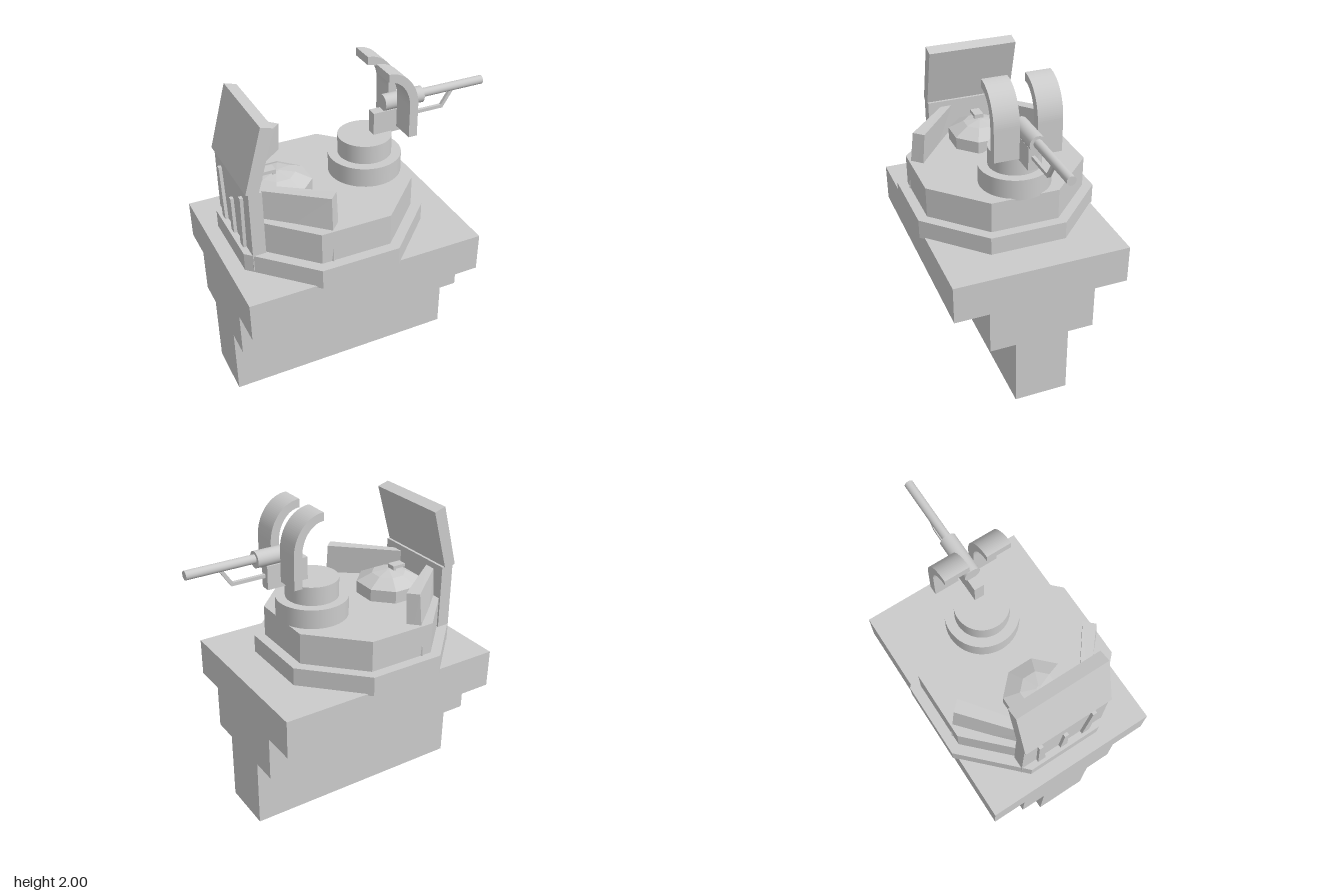
import * as THREE from 'three';

const flat = new THREE.MeshStandardMaterial({ color: 0xcccccc, flatShading: true });
const smooth = new THREE.MeshStandardMaterial({ color: 0xcccccc });

export function createModel() {
  const model = new THREE.Group();

  const add = (name, geometry, material = flat) => {
    const mesh = new THREE.Mesh(geometry, material);
    mesh.name = name;
    model.add(mesh);
    return mesh;
  };

  // Box given by its limits on each axis
  const box = (name, x0, x1, y0, y1, z0, z1) =>
    add(name, new THREE.BoxGeometry(x1 - x0, y1 - y0, z1 - z0)
      .translate((x0 + x1) / 2, (y0 + y1) / 2, (z0 + z1) / 2));

  // Upright regular octagon with flats facing the axes
  const octagon = (name, x, y0, y1, bottom, top = bottom) => {
    const k = 1 / Math.cos(Math.PI / 8);
    return add(name, new THREE.CylinderGeometry(top * k, bottom * k, y1 - y0, 8)
      .rotateY(Math.PI / 8).translate(x, (y0 + y1) / 2, 0));
  };

  // Side profile in x-y, extruded from z0 to z1
  const profile = (name, shape, z0, z1, material = flat) =>
    add(name, new THREE.ExtrudeGeometry(shape, { depth: z1 - z0, bevelEnabled: false, curveSegments: 16 })
      .translate(0, 0, z0), material);
  const polygon = (points) => new THREE.Shape(points.map(([x, y]) => new THREE.Vector2(x, y)));

  // Stepped pedestal
  box('pedestalFoot', -0.89, 0.59, 0, 0.455, -0.172, 0.172);
  box('pedestalMiddle', -0.89, 0.59, 0.455, 0.74, -0.338, 0.338);
  box('pedestalDeck', -0.89, 0.59, 0.74, 0.985, -0.555, 0.555);

  // Octagonal platform
  octagon('platformBase', -0.22, 0.975, 1.1, 0.58);
  octagon('platformBody', -0.22, 1.1, 1.297, 0.518);

  // Hatch: drum, two-stage faceted lid and handle
  octagon('hatchDrum', -0.485, 1.29, 1.375, 0.19);
  octagon('hatchLid', -0.485, 1.375, 1.425, 0.19, 0.1);
  octagon('hatchCrown', -0.485, 1.425, 1.44, 0.1, 0.012);
  box('hatchHandle', -0.59, -0.5, 1.445, 1.465, -0.03, 0.03);
  box('hatchHandlePost', -0.52, -0.5, 1.42, 1.455, -0.03, 0.03);

  // Rear plate with its leaning upper shield
  box('rearPlate', -0.76, -0.68, 0.985, 1.51, -0.285, 0.285);
  profile('rearShield', polygon([[-0.775, 1.515], [-0.702, 1.495], [-0.59, 1.883], [-0.665, 1.905]]), -0.288, 0.285);

  // Tapered ribs on the back of the rear plate
  for (const [z, lean, top] of [[-0.15, -0.03, 1.44], [0, 0, 1.33], [0.15, 0.03, 1.44]]) {
    const rib = new THREE.BoxGeometry(0.03, top - 1.0, 0.06).translate(-0.765, (top + 1.0) / 2, z);
    const p = rib.attributes.position;
    for (let i = 0; i < p.count; i++) {
      if (p.getY(i) > 1.1) p.setZ(i, z + (p.getZ(i) - z) * 0.45 + lean);
    }
    add('rearRib', rib);
  }

  // Side wings lean inward; corners picked by end, height and side of a box
  for (const side of [1, -1]) {
    const wing = new THREE.BoxGeometry(1, 1, 1);
    const p = wing.attributes.position;
    for (let i = 0; i < p.count; i++) {
      const tip = p.getX(i) > 0;
      const top = p.getY(i) > 0;
      const outer = p.getZ(i) * side > 0;
      let x, z;
      if (tip) {
        x = outer ? (top ? -0.355 : -0.367) : -0.3;
        z = outer ? (top ? 0.483 : 0.527) : (top ? 0.425 : 0.46);
      } else {
        x = -0.7;
        z = outer ? (top ? 0.185 : 0.215) : (top ? 0.115 : 0.14);
      }
      p.setXYZ(i, x, top ? (tip ? 1.49 : 1.472) : 1.1, z * side);
    }
    add(side > 0 ? 'leftWing' : 'rightWing', wing);
  }

  // Round gun turret
  const drum = (name, r, y0, y1) =>
    add(name, new THREE.CylinderGeometry(r, r, y1 - y0, 48).translate(0.09, (y0 + y1) / 2, -0.012), smooth);
  drum('turretRing', 0.222, 1.285, 1.418);
  drum('turretDrum', 0.163, 1.418, 1.535);

  // Gun: mount, receiver and barrel
  box('gunMount', 0.13, 0.397, 1.528, 1.675, -0.032, 0.03);
  const rod = (name, r, x0, x1, y) =>
    add(name, new THREE.CylinderGeometry(r, r, x1 - x0, 32)
      .rotateZ(-Math.PI / 2).translate((x0 + x1) / 2, y, 0), smooth);
  rod('gunReceiver', 0.05, 0.2, 0.46, 1.72);
  rod('gunBarrel', 0.027, 0.44, 0.886, 1.725);
  profile('barrelBrace', polygon([
    [0.39, 1.597], [0.613, 1.597], [0.685, 1.705], [0.66, 1.705], [0.602, 1.618], [0.39, 1.618],
  ]), -0.01, 0.01);

  // Pair of curved gun shields
  const curve = new THREE.Shape();
  curve.moveTo(0.27, 1.573);
  curve.lineTo(0.324, 1.573);
  curve.lineTo(0.324, 1.77);
  curve.absellipse(0.13, 1.77, 0.194, 0.23, 0, Math.PI / 2, false, 0);
  curve.lineTo(0.13, 1.95);
  curve.absellipse(0.13, 1.77, 0.14, 0.18, Math.PI / 2, 0, true, 0);
  curve.closePath();
  profile('leftGunShield', curve, 0.052, 0.205, smooth);
  profile('rightGunShield', curve, -0.208, -0.055, smooth);

  return model;
}
